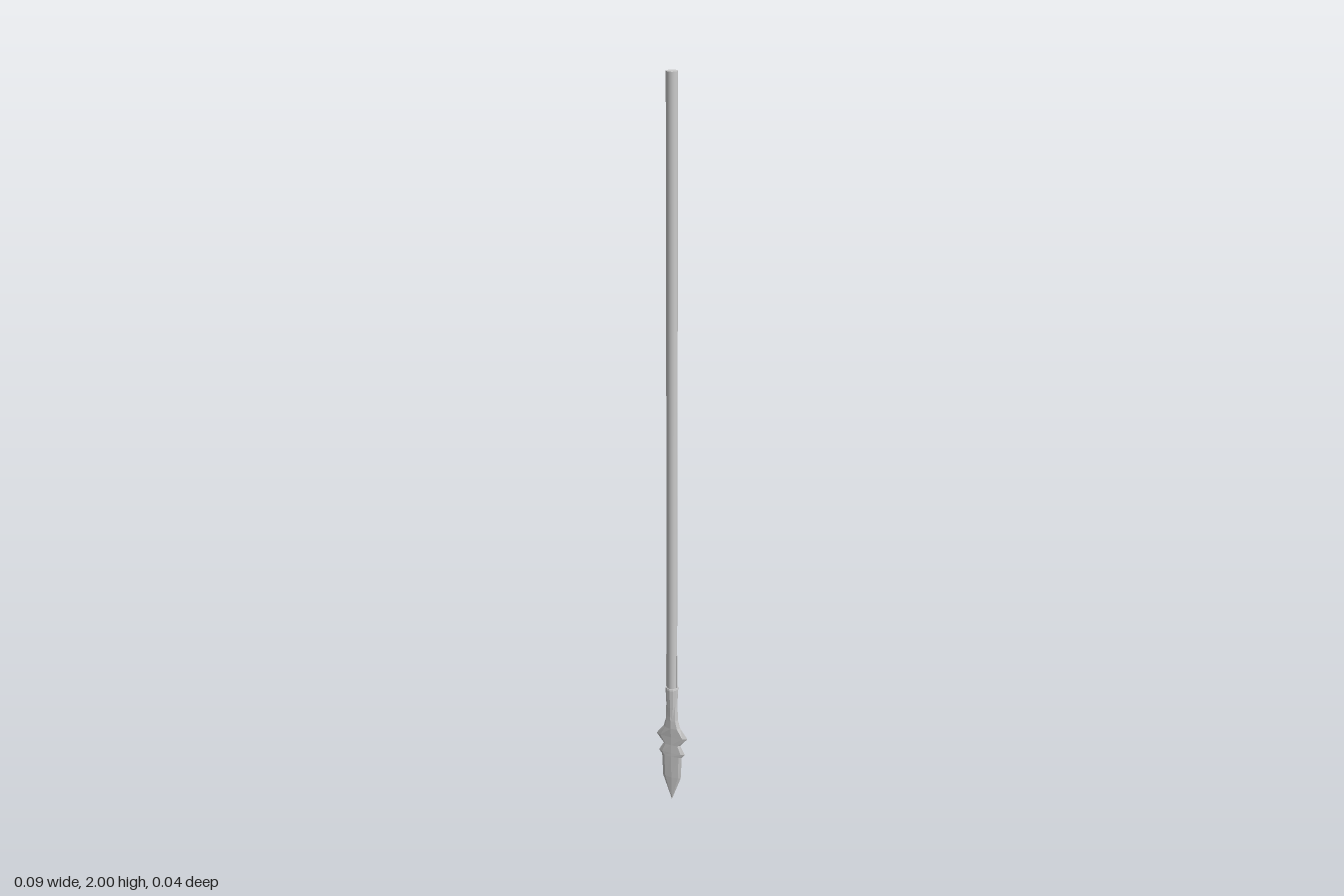
import * as THREE from 'three';

// Closed skin over cross-section loops stacked upward; each loop is a list of [x, z]
function loft(sections) {
  const n = sections[0].loop.length, pos = [], idx = [];
  for (const { y, loop } of sections) for (const [x, z] of loop) pos.push(x, y, z);
  for (let i = 0; i < sections.length - 1; i++) {
    for (let j = 0; j < n; j++) {
      const a = i * n + j, b = i * n + (j + 1) % n;
      idx.push(a, a + n, b, b, a + n, b + n);
    }
  }
  const top = (sections.length - 1) * n;
  for (let j = 1; j < n - 1; j++) {
    idx.push(0, j, j + 1, top, top + j + 1, top + j);
  }
  const g = new THREE.BufferGeometry();
  g.setAttribute('position', new THREE.Float32BufferAttribute(pos, 3));
  g.setIndex(idx);
  g.computeVertexNormals();
  return g;
}

// Bevelled blade section: w half width, t thickness at the bevel, r ridge height
const bladeLoop = (w, t, r) => {
  const s = w * 0.72;
  return [[w, 0], [s, t], [0, r], [-s, t], [-w, 0], [-s, -t], [0, -r], [s, -t]];
};

export function createModel() {
  const group = new THREE.Group();
  const smooth = new THREE.MeshStandardMaterial({ color: 0xcccccc });
  const flat = new THREE.MeshStandardMaterial({ color: 0xcccccc, flatShading: true });
  const add = (name, geometry, material, x = 0, y = 0, z = 0) => {
    const mesh = new THREE.Mesh(geometry, material);
    mesh.name = name;
    mesh.position.set(x, y, z);
    group.add(mesh);
  };

  // Long round pole
  add('shaft', new THREE.CylinderGeometry(0.014, 0.014, 1.69, 16), smooth, 0, 1.155, 0);

  // Tapering socket that grips the pole
  const profile = [[0, 0.24], [0.011, 0.24], [0.0125, 0.275], [0.015, 0.31], [0.0175, 0.365], [0.0165, 0.37], [0.013, 0.37]]
    .map(([r, y]) => new THREE.Vector2(r, y));
  add('socket', new THREE.LatheGeometry(profile, 12), flat);

  // Narrow strips running up the pole from the socket
  for (const side of [-1, 1]) {
    add('langet', new THREE.BoxGeometry(0.003, 0.11, 0.006), flat, side * 0.0138, 0.415, 0);
  }

  // Barbed blade: y, half width, bevel thickness, ridge thickness
  const stations = [
    [0.0, 0.0005, 0.0003, 0.0005],
    [0.075, 0.026, 0.003, 0.005],
    [0.145, 0.029, 0.0045, 0.006],
    [0.157, 0.038, 0.005, 0.006],
    [0.183, 0.024, 0.005, 0.0065],
    [0.21, 0.045, 0.006, 0.0075],
    [0.24, 0.024, 0.008, 0.011],
    [0.265, 0.0175, 0.009, 0.0125],
    [0.31, 0.0165, 0.009, 0.0135],
    [0.36, 0.0165, 0.008, 0.0135],
  ];
  add('blade', loft(stations.map(([y, w, t, r]) => ({ y, loop: bladeLoop(w, t, r) }))), flat);

  return group;
}
